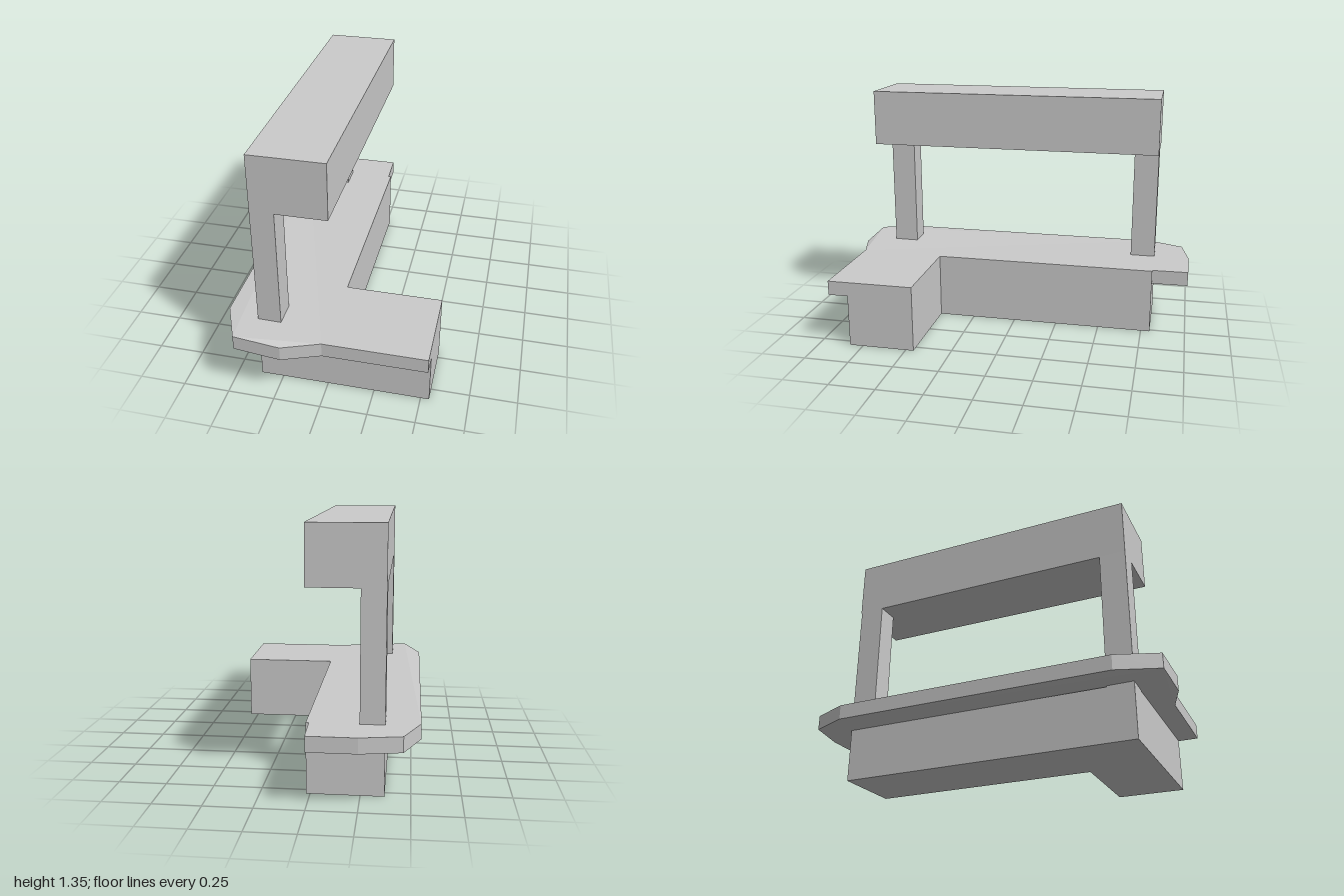
import * as THREE from 'three';

const material = new THREE.MeshStandardMaterial({ color: 0xcccccc, flatShading: true });

// Box given by its lower and upper corners
function block(name, [x0, y0, z0], [x1, y1, z1]) {
  const geometry = new THREE.BoxGeometry(x1 - x0, y1 - y0, z1 - z0);
  geometry.translate((x0 + x1) / 2, (y0 + y1) / 2, (z0 + z1) / 2);
  const mesh = new THREE.Mesh(geometry, material);
  mesh.name = name;
  return mesh;
}

// Plan outline of [x, z] points, raised from y0 to y1
function slab(outline, y0, y1) {
  const shape = new THREE.Shape(outline.map(([x, z]) => new THREE.Vector2(x, -z)));
  const geometry = new THREE.ExtrudeGeometry(shape, { depth: y1 - y0, bevelEnabled: false });
  geometry.rotateX(-Math.PI / 2);
  geometry.translate(0, y0, 0);
  return geometry;
}

export function createModel() {
  const stall = new THREE.Group();
  stall.name = 'stall';

  // L-shaped counter body
  const body = new THREE.Mesh(slab([
    [-0.37, -0.8], [-0.37, 0.825], [0.545, 0.825], [0.545, 0.455], [0.02, 0.455], [0.02, -0.8],
  ], 0, 0.29), material);
  body.name = 'counterBody';

  // Overhanging countertop with clipped outer corners
  const top = slab([
    [0, -1], [-0.25, -1], [-0.46, -0.96], [-0.545, -0.76], [-0.548, 0.77], [-0.45, 0.99],
    [-0.2, 1], [0, 0.935], [0.545, 0.935], [0.545, 0.455], [0.02, 0.455], [0.02, -0.8], [0.005, -0.8],
  ], 0.29, 0.37);
  // Slight warp along the front edge
  const p = top.attributes.position;
  for (let i = 0; i < p.count; i++) {
    if (p.getZ(i) < 0.98) continue;
    p.setY(i, p.getY(i) + (p.getX(i) < -0.3 ? 0.009 : -0.009));
  }
  top.computeVertexNormals();
  const countertop = new THREE.Mesh(top, material);
  countertop.name = 'countertop';

  stall.add(
    body,
    countertop,
    // Posts and the deep overhead beam
    block('frontPost', [-0.37, 0.29, 0.685], [-0.245, 1.04, 0.825]),
    block('backPost', [-0.37, 0.29, -0.8], [-0.245, 1.04, -0.66]),
    block('overheadBeam', [-0.37, 1.038, -0.805], [0.022, 1.345, 0.825]),
  );
  return stall;
}
